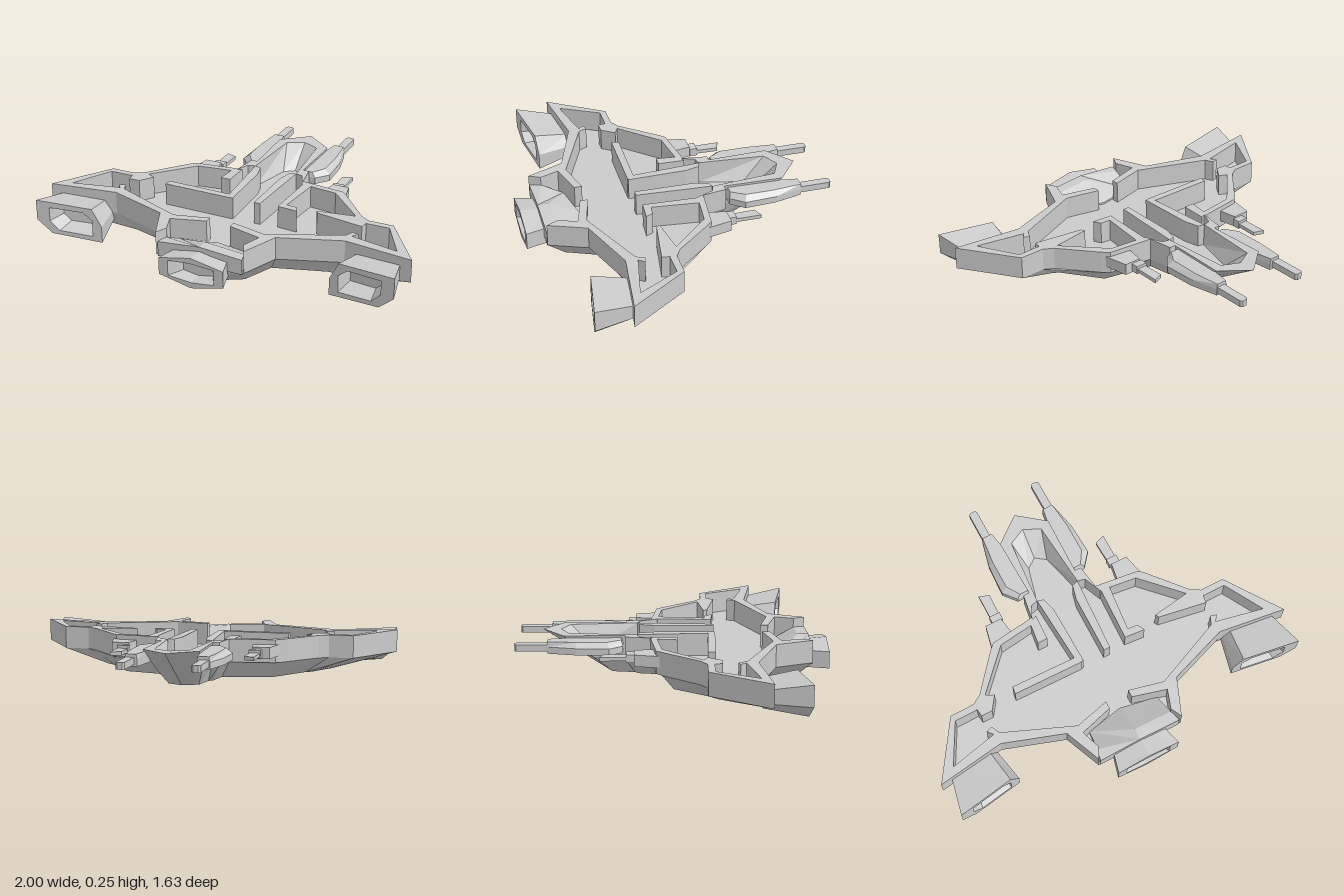
import * as THREE from 'three';

const FLOOR = 0.13, TOP = 0.25;
const material = new THREE.MeshStandardMaterial({ color: 0xcccccc, flatShading: true });

function meshFrom(name, triangles) {
  const geometry = new THREE.BufferGeometry().setFromPoints(triangles.map(p => new THREE.Vector3(...p)));
  geometry.computeVertexNormals();
  const mesh = new THREE.Mesh(geometry, material);
  mesh.name = name;
  return mesh;
}

// Solid between a lower and an upper outline with matching corners
function prism(name, low, high) {
  let flat = low.map(p => new THREE.Vector2(p[0], -p[2]));
  if (THREE.ShapeUtils.area(flat) < 0) {
    low = [...low].reverse();
    high = [...high].reverse();
    flat = flat.reverse();
  }
  const tris = [];
  for (const [i, j, k] of THREE.ShapeUtils.triangulateShape(flat, [])) {
    tris.push(high[i], high[j], high[k], low[k], low[j], low[i]);
  }
  low.forEach((a, i) => {
    const j = (i + 1) % low.length;
    tris.push(a, low[j], high[j], a, high[j], high[i]);
  });
  return meshFrom(name, tris);
}

// Upright slab from an x,z outline
const slab = (name, outline, y0 = FLOOR, y1 = TOP) =>
  prism(name, outline.map(([x, z]) => [x, y0, z]), outline.map(([x, z]) => [x, y1, z]));

// Skin through rings running towards +z, then back into a recess
function nozzle(name, rings) {
  const tris = [];
  const cap = (ring, flip) => {
    const n = ring.length;
    const c = [0, 1, 2].map(k => ring.reduce((s, p) => s + p[k], 0) / n);
    ring.forEach((p, i) => {
      const q = ring[(i + 1) % n];
      tris.push(c, flip ? q : p, flip ? p : q);
    });
  };
  cap(rings[0], true);
  for (let r = 0; r < rings.length - 1; r++) {
    const a = rings[r], b = rings[r + 1];
    a.forEach((p, i) => {
      const j = (i + 1) % a.length;
      tris.push(b[i], p, a[j], b[i], a[j], b[j]);
    });
  }
  cap(rings[rings.length - 1], false);
  return meshFrom(name, tris);
}

const flipX = (pts, s) => pts.map(([x, ...rest]) => [s * x, ...rest]);
const whole = half => [...half, ...flipX(half, -1).reverse().filter(p => p[0] !== 0)];

export function createModel() {
  const ship = new THREE.Group();
  ship.name = 'openDeckShip';

  // Hull tub: deck outline narrowing to the belly, with a keel at the rear
  const deck = [[0, -0.5], [0.12, -0.42], [0.13, -0.25], [0.17, -0.25], [0.19, -0.12], [0.46, -0.06], [0.62, 0.13],
    [0.67, 0.16], [0.8, 0.16], [1, 0.46], [0.64, 0.41], [0.32, 0.52], [0.24, 0.715], [0, 0.715]];
  const belly = [[0, -0.36], [0.08, -0.32], [0.1, -0.2], [0.12, -0.18], [0.14, -0.06], [0.4, 0], [0.52, 0.17],
    [0.54, 0.2], [0.57, 0.22], [0.66, 0.37], [0.54, 0.38], [0.27, 0.46], [0.2, 0.62], [0, 0.65]];
  ship.add(prism('hull',
    whole(belly).map(([x, z]) => [x, z === 0.65 ? 0 : 0.04, z]),
    whole(deck).map(([x, z]) => [x, FLOOR, z])));

  for (const s of [1, -1]) {
    const side = s > 0 ? 'left' : 'right';
    const add = (name, pts, y0, y1) => ship.add(slab(side + name, flipX(pts, s), y0, y1));
    const solid = (name, low, high) => ship.add(prism(side + name, flipX(low, s), flipX(high, s)));

    // Raked nose wall
    const noseLow = [[0, -0.5], [0.12, -0.42], [0.13, -0.25], [0.13, -0.19], [0.115, -0.19], [0.055, -0.42], [0, -0.46]];
    const noseTop = [[0, -0.685], [0.145, -0.57], [0.135, -0.25], [0.135, -0.19], [0.12, -0.19], [0.09, -0.545], [0, -0.59]];
    solid('NoseWall', noseLow.map(([x, z]) => [x, FLOOR, z]), noseTop.map(([x, z]) => [x, TOP, z]));

    // Outer walls of the main deck
    add('FrontWall', [[0.13, -0.25], [0.17, -0.25], [0.19, -0.12], [0.43, -0.09], [0.46, -0.06], [0.62, 0.13],
      [0.67, 0.16], [0.67, 0.195], [0.6, 0.15], [0.4, -0.06], [0.2, -0.085], [0.16, -0.18], [0.12, -0.19]]);
    add('WingWall', [[0.67, 0.16], [0.8, 0.16], [1, 0.46], [0.64, 0.41], [0.32, 0.52], [0.24, 0.715], [0.21, 0.655],
      [0.245, 0.555], [0.065, 0.505], [0.065, 0.465], [0.25, 0.51], [0.62, 0.355], [0.64, 0.31], [0.675, 0.32],
      [0.65, 0.35], [0.905, 0.405], [0.79, 0.195], [0.67, 0.195]]);

    // Partitions beside the central corridor
    add('CorridorWall', [[0.085, -0.18], [0.12, -0.19], [0.095, 0.215], [0.06, 0.215], [0.065, -0.1]]);

    // Low hump over the rear engine room
    const hump = [[0, 0.5, 0.14], [0.2, 0.54, 0.14], [0.215, 0.655, 0.2], [0.23, 0.715, 0.2], [0, 0.715, 0.22], [0, 0.655, 0.22]];
    solid('EngineRoomRoof', hump.map(([x, z]) => [x, FLOOR - 0.01, z]), hump.map(([x, z, y]) => [x, y, z]));

    // Large nose cannon: bevelled pod and barrel
    const pod = [[0.15, -0.65], [0.215, -0.65], [0.25, -0.5], [0.258, -0.33], [0.2, -0.26], [0.13, -0.26], [0.13, -0.5]];
    const podTop = [[0.155, -0.65], [0.21, -0.65], [0.225, -0.5], [0.225, -0.34], [0.18, -0.27], [0.13, -0.27], [0.13, -0.5]];
    solid('CannonPod', pod.map(([x, z]) => [x, 0.175, z]), pod.map(([x, z]) => [x, 0.21, z]));
    solid('CannonCover', pod.map(([x, z]) => [x, 0.21, z]), podTop.map(([x, z]) => [x, 0.237, z]));
    add('CannonBarrel', [[0.165, -0.6], [0.165, -0.81], [0.175, -0.82], [0.2, -0.82], [0.21, -0.81], [0.21, -0.6]], 0.185, 0.22);

    // Small wing gun: mount, breech and barrel
    add('GunMount', [[0.31, -0.08], [0.33, -0.2], [0.42, -0.2], [0.45, -0.06]], 0.165, 0.225);
    add('GunBreech', [[0.32, -0.2], [0.32, -0.24], [0.38, -0.24], [0.38, -0.2]], 0.172, 0.215);
    add('GunBarrel', [[0.325, -0.22], [0.32, -0.355], [0.375, -0.375], [0.375, -0.22]], 0.18, 0.2);

    // Wing engine with a hollow exhaust
    const rim = [[0.98, 0.13], [0.98, 0.24], [0.68, 0.225], [0.63, 0.13], [0.63, 0.04], [0.9, 0.06]];
    const lip = [[0.91, 0.13], [0.91, 0.205], [0.73, 0.2], [0.68, 0.16], [0.68, 0.07], [0.86, 0.08]];
    const back = (x, dz = 0) => 0.585 + (x - 0.63) * 0.17 - dz;
    const rings = [
      rim.map(([x, y]) => [0.67 + (x - 0.63) * 0.75, 0.08 + (y - 0.04) * 0.6, 0.39 + (x - 0.63) * 0.1]),
      rim.map(([x, y]) => [x, y, back(x)]),
      lip.map(([x, y]) => [x, y, back(x)]),
      lip.map(([x, y]) => [0.8 + (x - 0.8) * 0.8, 0.14 + (y - 0.14) * 0.75, back(x, 0.1)]),
    ];
    ship.add(nozzle(side + 'WingEngine', rings.map(r => s > 0 ? r : flipX(r, -1).reverse())));
  }

  // Room dividers, different on each side
  const dividers = {
    leftRoomStub: [[0.66, 0.235], [0.4, 0.19], [0.39, 0.17], [0.6, 0.14], [0.67, 0.16]],
    leftCabinWall: [[0.205, -0.11], [0.255, -0.1], [0.225, 0.17], [0.28, 0.175], [0.3, 0.215], [0.19, 0.205]],
    rightCabinWall: [[-0.165, -0.12], [-0.21, -0.1], [-0.225, 0.02], [-0.17, 0.02]],
    rightCrossWall: [[-0.08, 0.18], [-0.45, 0.17], [-0.455, 0.21], [-0.07, 0.218]],
    rightRoomStub: [[-0.55, 0.165], [-0.6, 0.235], [-0.66, 0.235], [-0.67, 0.16], [-0.6, 0.14]],
  };
  for (const [name, outline] of Object.entries(dividers)) ship.add(slab(name, outline));

  // Central engine with a hollow exhaust
  const hex = (w, bottom, top, z) => [[w, 0.08, z], [w, 0.17, z], [0, top, z], [-w, 0.17, z], [-w, 0.08, z], [0, bottom, z]];
  const slim = (w, z) => hex(w, 0.065, 0.18, z).map(([x, y]) => [x, 0.123 + (y - 0.123) * 0.9, z]);
  ship.add(nozzle('centralEngine', [hex(0.135, 0.06, 0.19, 0.66), hex(0.175, 0.04, 0.205, 0.81), slim(0.125, 0.81), slim(0.08, 0.73)]));
  return ship;
}
